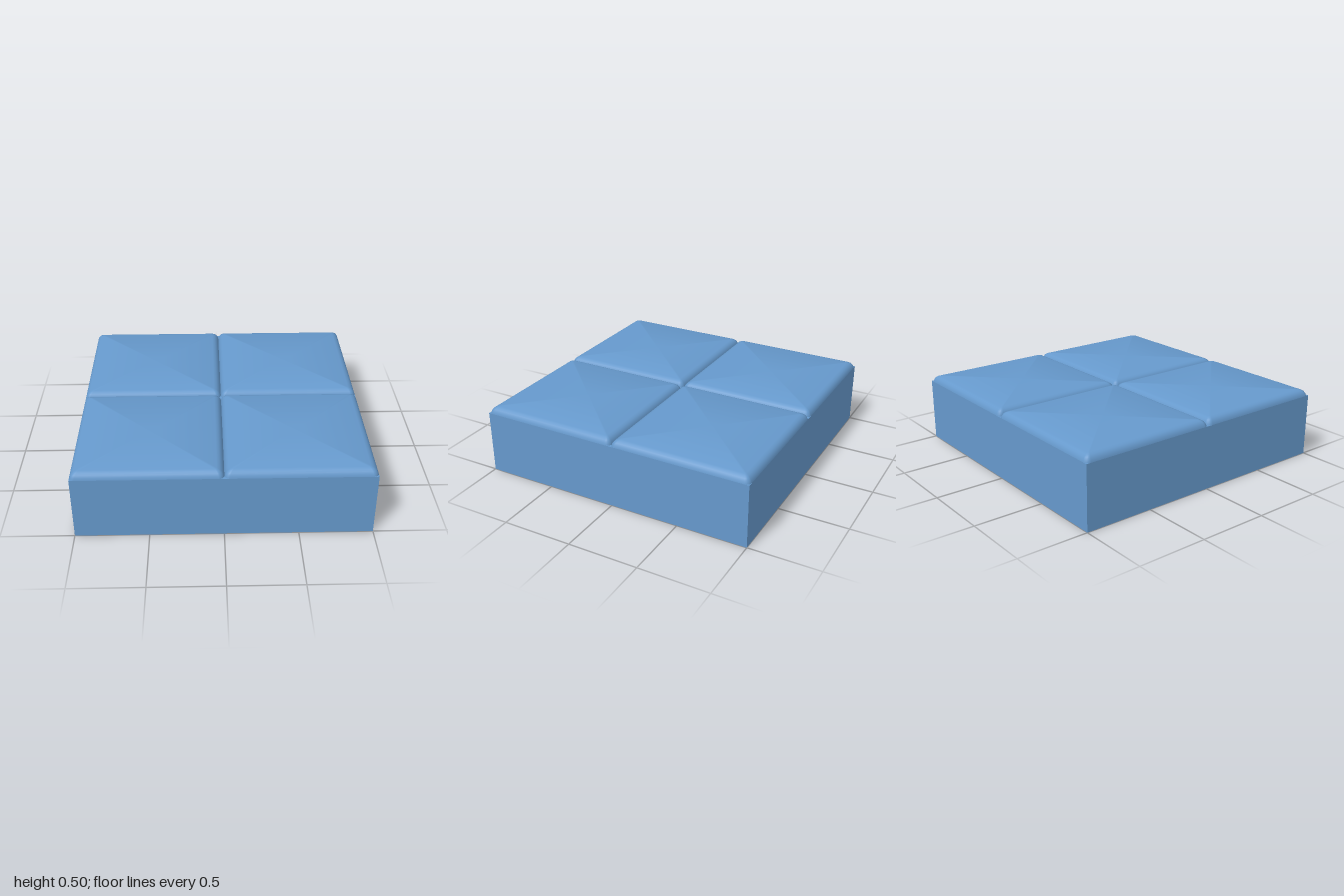
import * as THREE from 'three';

// Pillow-topped square pad: rounded-square rings [inset, height, normal tilt in degrees]
function padGeometry(half, radius) {
  const rings = [[0, 0, 78], [0.006, 0.016, 66], [0.016, 0.03, 50], [0.03, 0.039, 32], [0.05, 0.045, 14]];
  const steps = 4;
  const count = 4 * (steps + 1);
  const positions = [], normals = [], index = [];
  for (const [inset, y, tilt] of rings) {
    const slope = THREE.MathUtils.degToRad(tilt);
    for (let corner = 0; corner < 4; corner++) {
      const mid = (corner + 0.5) * Math.PI / 2;
      const r = Math.max(radius - inset * 0.5, 0.012);
      const c = half - inset - r;
      for (let s = 0; s <= steps; s++) {
        const a = (corner + s / steps) * Math.PI / 2;
        positions.push(
          Math.sign(Math.cos(mid)) * c + Math.cos(a) * r, y,
          Math.sign(Math.sin(mid)) * c + Math.sin(a) * r);
        normals.push(Math.cos(a) * Math.sin(slope), Math.cos(slope), Math.sin(a) * Math.sin(slope));
      }
    }
  }
  for (let k = 0; k < rings.length - 1; k++) {
    for (let i = 0; i < count; i++) {
      const a = k * count + i, b = k * count + (i + 1) % count;
      index.push(a, a + count, b, b, a + count, b + count);
    }
  }
  // Top cap as a fan about the centre
  const centre = positions.length / 3, last = (rings.length - 1) * count;
  positions.push(0, rings[rings.length - 1][1], 0);
  normals.push(0, 1, 0);
  for (let i = 0; i < count; i++) index.push(last + i, centre, last + (i + 1) % count);

  const geometry = new THREE.BufferGeometry();
  geometry.setAttribute('position', new THREE.Float32BufferAttribute(positions, 3));
  geometry.setAttribute('normal', new THREE.Float32BufferAttribute(normals, 3));
  geometry.setIndex(index);
  return geometry;
}

export function createModel() {
  const group = new THREE.Group();
  group.name = 'tileBlock';
  const blue = new THREE.MeshStandardMaterial({ color: 0x6699cc });
  blue.name = 'blue';

  // Square base block
  const baseHeight = 0.455;
  const base = new THREE.Mesh(new THREE.BoxGeometry(2, baseHeight, 2), blue);
  base.name = 'base';
  base.position.y = baseHeight / 2;
  group.add(base);

  // Four bevelled pads in a two by two grid
  const geometry = padGeometry(0.5, 0.035);
  for (const x of [-0.5, 0.5]) {
    for (const z of [-0.5, 0.5]) {
      const pad = new THREE.Mesh(geometry, blue);
      pad.name = (z > 0 ? 'front' : 'back') + (x > 0 ? 'Left' : 'Right') + 'Pad';
      pad.position.set(x, baseHeight, z);
      group.add(pad);
    }
  }
  return group;
}
